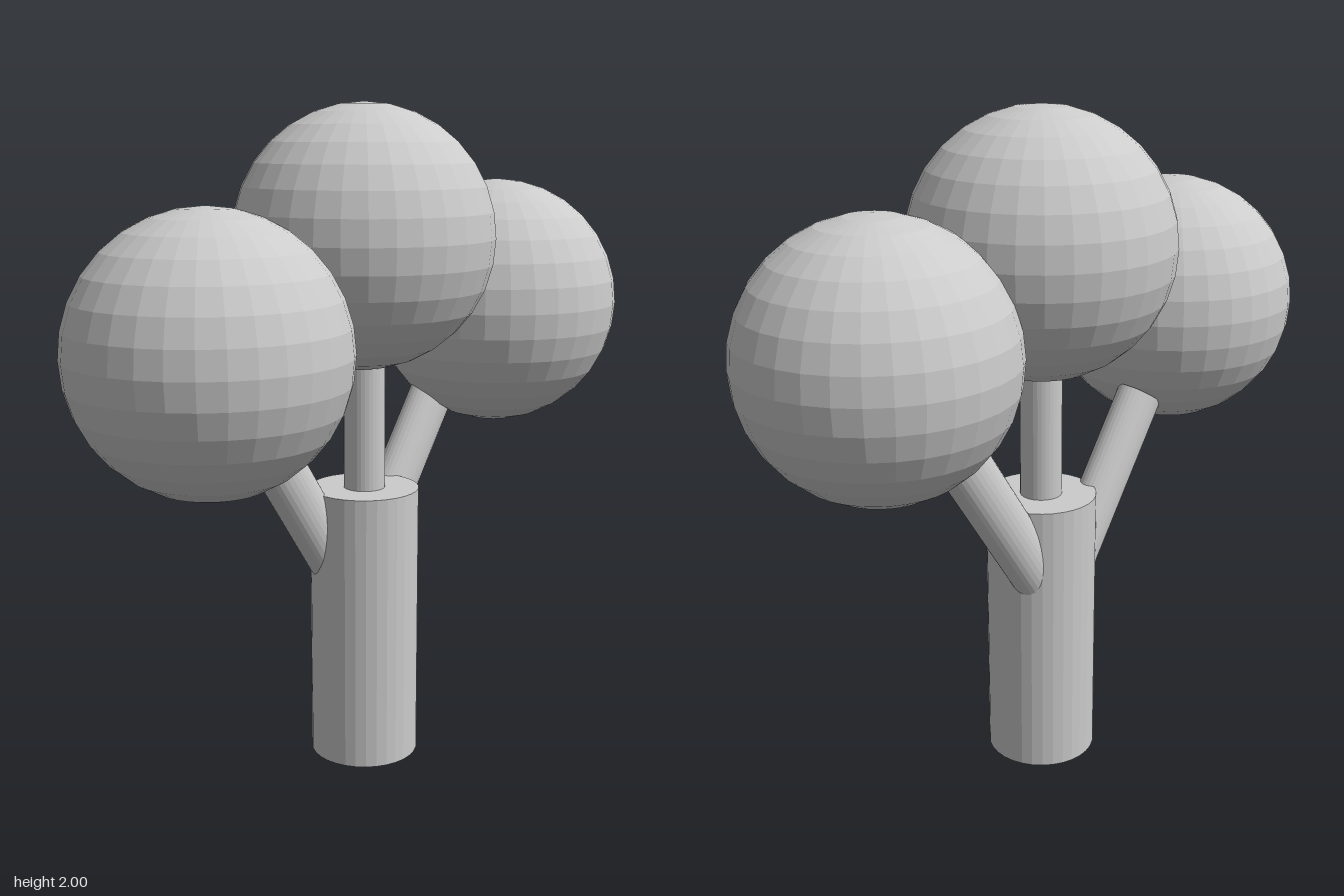
import * as THREE from 'three';

const X = 0.035, Z = -0.025; // trunk axis

export function createModel() {
  const group = new THREE.Group();
  const material = new THREE.MeshStandardMaterial({ color: 0xcccccc, flatShading: true });

  const add = (name, geometry, x, y, z) => {
    const mesh = new THREE.Mesh(geometry, material);
    mesh.name = name;
    mesh.position.set(x, y, z);
    group.add(mesh);
    return mesh;
  };

  // Trunk and the upright stem standing on it
  const trunkHeight = 0.855, stemHeight = 0.75;
  add('trunk', new THREE.CylinderGeometry(0.167, 0.167, trunkHeight, 32), X, trunkHeight / 2, Z);
  add('centreStem', new THREE.CylinderGeometry(0.063, 0.063, stemHeight, 32), X, 0.7 + stemHeight / 2, Z);

  // Slanted side branches, mirrored about the trunk and set slightly to the back
  const start = new THREE.Vector2(0, 0.505), end = new THREE.Vector2(0.385, 1.09);
  const mid = start.clone().add(end).multiplyScalar(0.5);
  const span = end.clone().sub(start);
  for (const [side, name] of [[1, 'leftBranch'], [-1, 'rightBranch']]) {
    const geometry = new THREE.CylinderGeometry(0.08, 0.08, span.length(), 32);
    geometry.scale(1, 1, 0.78); // oval cross-section
    const branch = add(name, geometry, X + side * mid.x, mid.y, -0.083);
    branch.rotation.z = -side * Math.atan2(span.x, span.y);
  }

  // Round foliage crowns
  const crowns = [
    ['centreCrown', X, 1.612, -0.027],
    ['leftCrown', 0.6, 1.382, 0.024],
    ['rightCrown', -0.602, 1.342, 0.012],
  ];
  for (const [name, x, y, z] of crowns) add(name, new THREE.SphereGeometry(0.388, 32, 16), x, y, z);

  return group;
}
